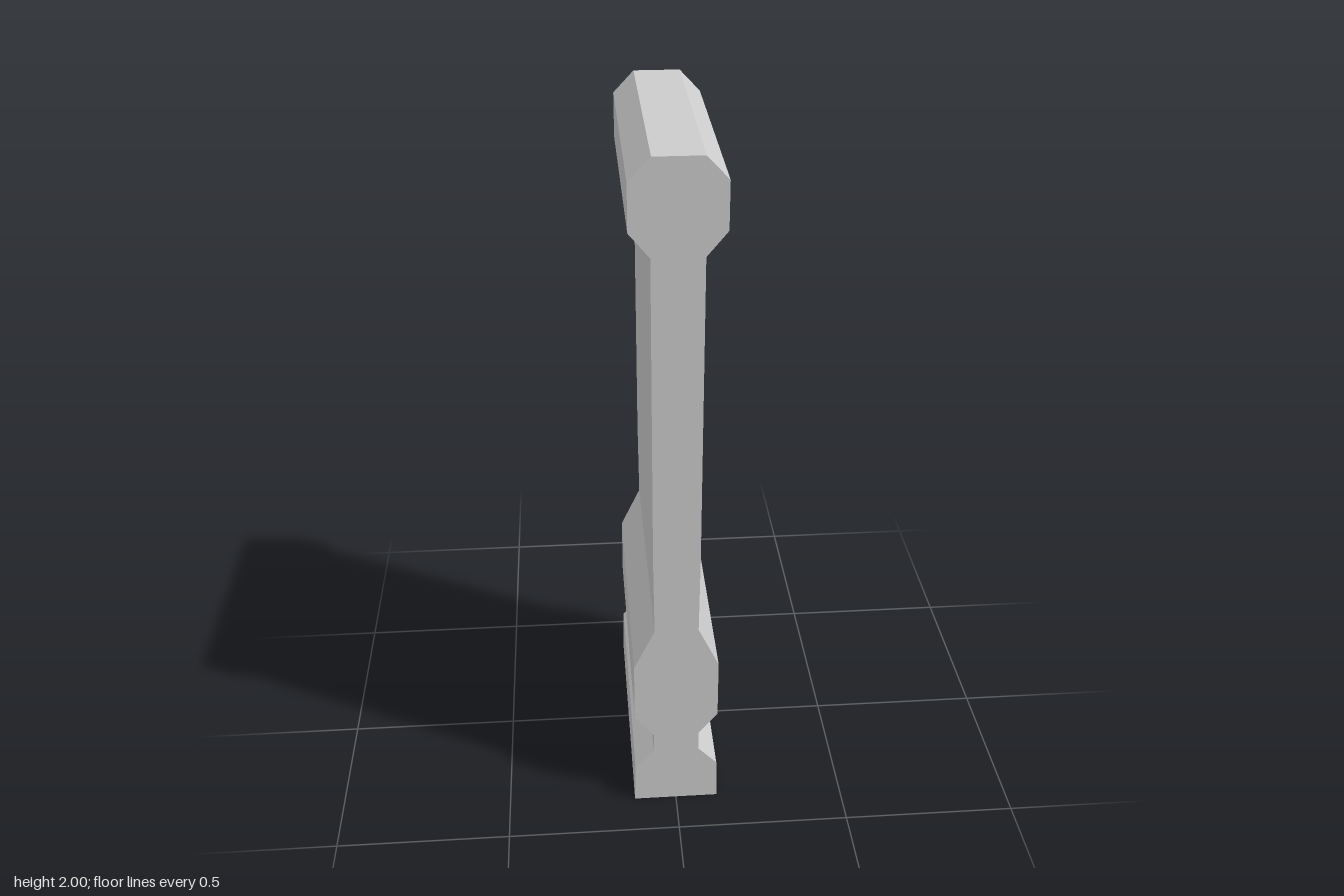
import * as THREE from 'three';

const DEPTH = 0.75;

// Half-width and height along one side of the moulded section, bottom to top
const PROFILE = [
  [0.124, 0], [0.121, 0.13],                            // plinth
  [0.066, 0.19], [0.066, 0.25],                         // lower neck
  [0.121, 0.32], [0.121, 0.505],                        // lower swelling
  [0.062, 0.632], [0.065, 0.87], [0.067, 1.75],         // tall panel
  [0.121, 1.815], [0.121, 1.94], [0.064, 2],            // top rail
];

export function createModel() {
  const group = new THREE.Group();
  group.name = 'mouldedPanel';

  // Mirror the side profile into a closed section and extrude it front to back
  const right = PROFILE.map(([x, y]) => new THREE.Vector2(x, y));
  const left = PROFILE.map(([x, y]) => new THREE.Vector2(-x, y)).reverse();
  const section = new THREE.Shape([...right, ...left]);

  const geometry = new THREE.ExtrudeGeometry(section, { depth: DEPTH, bevelEnabled: false });
  geometry.translate(0, 0, -DEPTH / 2);

  const material = new THREE.MeshStandardMaterial({ color: 0xcccccc, flatShading: true });
  const panel = new THREE.Mesh(geometry, material);
  panel.name = 'panelWithRailAndPlinth';
  group.add(panel);
  return group;
}
